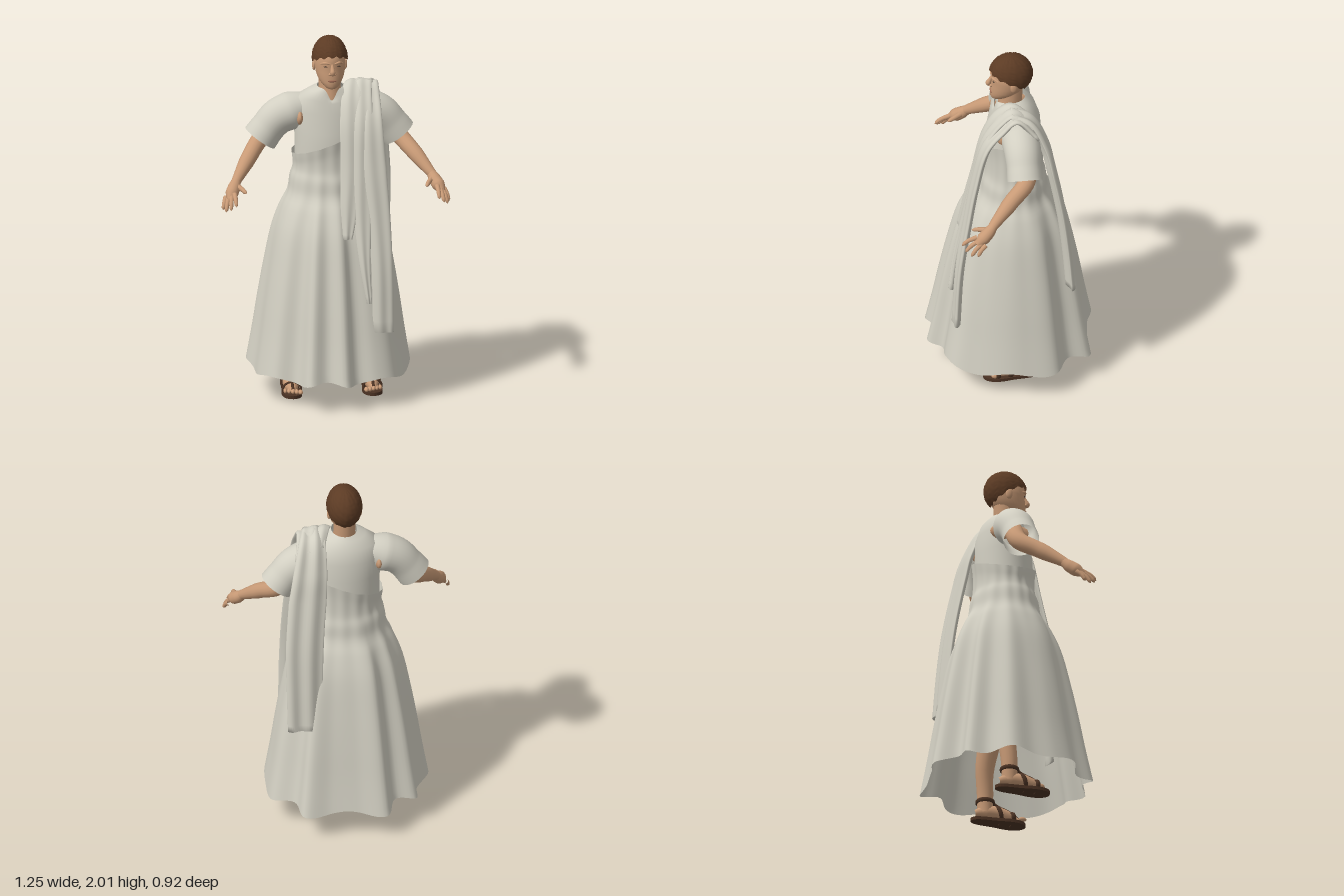
import * as THREE from 'three';

const V = (x, y, z) => new THREE.Vector3(x, y, z);
const mat = (name, color, side = THREE.FrontSide) => {
  const m = new THREE.MeshStandardMaterial({ color, side });
  m.name = name;
  return m;
};

// Surface through closed rings of equal point count
function loft(rings) {
  const n = rings[0].length, pos = [], idx = [];
  rings.forEach(r => r.forEach(p => pos.push(p.x, p.y, p.z)));
  for (let i = 0; i < rings.length - 1; i++) {
    for (let j = 0; j < n; j++) {
      const a = i * n + j, b = i * n + (j + 1) % n, c = a + n, d = b + n;
      idx.push(a, b, c, b, d, c);
    }
  }
  const g = new THREE.BufferGeometry();
  g.setAttribute('position', new THREE.Float32BufferAttribute(pos, 3));
  g.setIndex(idx);
  g.computeVertexNormals();
  return g;
}

const ring = (n, f) => Array.from({ length: n }, (_, j) => f(j / n * Math.PI * 2));

// Linear reading of a short list of values at t = 0..1
function at(list, t) {
  const k = t * (list.length - 1), i = Math.min(Math.floor(k), list.length - 2);
  return THREE.MathUtils.lerp(list[i], list[i + 1], k - i);
}

// Tapered round limb along a smooth path
function limb(pts, radii, steps = 16, sides = 16) {
  const curve = new THREE.CatmullRomCurve3(pts.map(p => V(...p)));
  const fr = curve.computeFrenetFrames(steps);
  return loft(Array.from({ length: steps + 1 }, (_, i) => {
    const t = i / steps, c = curve.getPointAt(t), r = at(radii, t);
    return ring(sides, a => c.clone().addScaledVector(fr.normals[i], r * Math.cos(a))
      .addScaledVector(fr.binormals[i], r * Math.sin(a)));
  }));
}

// Flat pleated band of cloth along a path, with closed ends
function drape(pts, widths, depth, pleat, waves) {
  const curve = new THREE.CatmullRomCurve3(pts.map(p => V(...p))), steps = 40, X = V(1, 0, 0);
  const rings = [];
  for (let i = 0; i <= steps; i++) {
    const t = i / steps, c = curve.getPoint(t), w = at(widths, t);
    const n = curve.getTangent(t).cross(X).normalize();
    const make = s => ring(40, a => c.clone().addScaledVector(X, s * w * Math.cos(a))
      .addScaledVector(n, s * (depth * Math.sin(a) + pleat * Math.sin(Math.cos(a) * waves))));
    if (i === 0) rings.push(make(0));
    rings.push(make(1));
    if (i === steps) rings.push(make(0));
  }
  return loft(rings);
}

// Oval rings given as [y, half width, front z, back z], top to bottom
function ovals(rows, sides, drop = () => 0) {
  return loft(rows.map(([y, w, f, b], i) => ring(sides, a =>
    V(w * Math.cos(a), y - drop(i, Math.sin(a)), (f + b) / 2 + (f - b) / 2 * Math.sin(a)))));
}

export function createModel() {
  const model = new THREE.Group();
  const cloth = mat('cream cloth', 0xd2cfc2, THREE.DoubleSide);
  const skin = mat('skin', 0xc89a76);
  const hair = mat('brown hair', 0x5c3b24, THREE.DoubleSide);
  const leather = mat('dark leather', 0x4c3324);
  const lip = mat('lips', 0xa06a54);
  const dark = mat('eyes', 0x5a4638);
  const add = (name, geo, m, p, s) => {
    const mesh = new THREE.Mesh(geo, m);
    mesh.name = name;
    if (p) mesh.position.set(...p);
    if (s) mesh.scale.set(...s);
    model.add(mesh);
    return mesh;
  };
  const ball = new THREE.SphereGeometry(1, 20, 14);

  // Skirt: folds grow from an oval waist, wrapped higher on the left, to a wavy hem
  const hem = new THREE.CatmullRomCurve3([
    [.44, -.04], [.42, .1], [.37, .23], [.3, .34], [.2, .38], [.1, .38], [.035, .455], [-.065, .41],
    [-.165, .44], [-.23, .32], [-.34, .28], [-.41, .15], [-.42, .02], [-.445, -.11], [-.36, -.22],
    [-.34, -.33], [-.22, -.34], [-.16, -.46], [0, -.425], [.14, -.405], [.29, -.4], [.32, -.28], [.43, -.2],
  ].map(([x, z]) => V(x, 0, z)), true).getSpacedPoints(144).slice(0, 144);
  const flare = new THREE.CatmullRomCurve3([
    [.03, 1.43], [0, 1.35], [.01, 1.27], [.07, 1.21], [.11, 1.14], [.28, 1.05], [.46, .92],
    [.63, .71], [.76, .52], [.87, .34], [1, .148],
  ].map(([f, y]) => V(f, y, 0)));
  add('skirt', loft(flare.getPoints(44).map(({ x: f, y }) => hem.map((h, j) => {
    const a = Math.atan2(h.z, h.x), fold = 1 + .012 * Math.sin(a * 17) * (1 - f * .6);
    const wx = .2 * Math.cos(a) * fold, wz = -.018 + .162 * Math.sin(a) * fold;
    const tilt = .4 * wx * THREE.MathUtils.smoothstep(y, 1.22, 1.43);
    const wave = .014 * Math.sin(j * .35) * f * f;
    return V(wx + (h.x - wx) * f, y + tilt + wave, wz + (h.z - wz) * f);
  }))), cloth);

  // Tunic with a small notch at the throat
  const notch = [.065, .05, .02, 0, 0, 0, 0];
  add('tunic', ovals([
    [1.725, .07, .085, -.085], [1.705, .115, .09, -.105], [1.665, .18, .1, -.14], [1.59, .2, .11, -.165],
    [1.48, .192, .132, -.17], [1.38, .19, .14, -.175], [1.28, .19, .14, -.175],
  ], 48, (i, s) => notch[i] * Math.max(0, s) ** 14), cloth);

  // Shoulder cloth: overlapping front falls of different lengths and a wide back fall
  add('shawlInner', drape([[.06, .93, .28], [.075, 1.1, .25], [.095, 1.31, .205], [.1, 1.55, .15],
    [.11, 1.69, .075], [.13, 1.74, 0], [.17, 1.68, -.1]], [.025, .05, .065, .065, .055, .05, .045], .013, .003, 5), cloth);
  add('shawlMiddle', drape([[.17, .58, .34], [.15, .8, .31], [.145, 1.05, .262], [.15, 1.31, .212], [.16, 1.55, .155],
    [.17, 1.69, .065], [.18, 1.74, 0], [.22, 1.66, -.11]], [.014, .03, .05, .055, .055, .05, .05, .045], .015, .003, 5), cloth);
  add('shawlOuter', drape([[.248, .41, .325], [.245, .76, .305], [.23, 1.05, .262], [.21, 1.31, .215], [.205, 1.55, .15],
    [.21, 1.66, .065], [.21, 1.725, -.01], [.24, 1.62, -.12]], [.057, .057, .065, .07, .062, .055, .055, .05], .019, .004, 5), cloth);
  add('shawlBack', drape([[.17, 1.735, .02], [.19, 1.7, -.08], [.215, 1.55, -.16], [.235, 1.4, -.195], [.26, 1.13, -.245],
    [.265, .88, -.275], [.265, .64, -.295]], [.06, .075, .095, .105, .105, .1, .097], .02, .008, 6), cloth);

  // Neck and head
  add('neck', limb([[0, 1.82, -.015], [0, 1.73, -.01], [0, 1.6, 0]], [.06, .06, .075]), skin);
  add('head', ovals([
    [1.965, .03, .04, -.06], [1.945, .065, .08, -.09], [1.9, .08, .1, -.105], [1.865, .083, .103, -.105],
    [1.85, .084, .099, -.1], [1.815, .08, .102, -.09], [1.785, .072, .105, -.07], [1.765, .062, .104, -.045],
    [1.745, .046, .106, -.01], [1.728, .026, .095, .02], [1.722, 0, .06, .06],
  ], 32), skin);
  add('nose', limb([[0, 1.875, .093], [0, 1.845, .108], [0, 1.822, .117], [0, 1.808, .1]], [.006, .01, .015, .004]), skin);
  add('mouth', ball, lip, [0, 1.776, .102], [.024, .006, .006]);
  for (const s of [-1, 1]) {
    add('brow', limb([[s * .012, 1.872, .1], [s * .036, 1.877, .093], [s * .06, 1.868, .07]], [.004, .008, .004]), skin);
    add('eye', ball, dark, [s * .034, 1.856, .091], [.013, .004, .005]);
    add('nostril', ball, skin, [s * .013, 1.815, .103], [.008, .008, .01]);
    add('ear', ball, skin, [s * .086, 1.838, -.012], [.01, .03, .019]);
  }

  // Curly cap of hair, low at the nape and high on the brow
  const hairRows = 28;
  add('hair', loft(Array.from({ length: hairRows + 1 }, (_, i) => ring(72, a => {
    const s = Math.sin(a);
    const reach = (s > 0 ? 1.72 - .42 * s : 1.72 - .7 * s) + .05 * Math.sin(a * 13);
    const t = reach * i / hairRows;
    const curl = .985 + .018 * Math.sin(a * 13 + 2.2 * Math.sin(i * 1.3)) * Math.sin(i * 1.1 + 2 * Math.sin(a * 5)) * Math.min(1, i / 8);
    return V(.098 * Math.sin(t) * Math.cos(a) * curl, 1.88 + .122 * Math.cos(t) * curl,
      -.007 + .122 * Math.sin(t) * s * curl);
  }))), hair);

  for (const s of [-1, 1]) {
    // Bare armpit, sleeve and arm
    add('armpit', ball, skin, [s * .172, 1.56, -.03], [.026, .055, .118]);
    add('sleeve', limb([[s * .13, 1.6, -.035], [s * .2, 1.58, -.035], [s * .28, 1.545, -.035], [s * .34, 1.48, -.035],
      [s * .378, 1.428, -.035]], [.08, .106, .1, .094, .098], 18, 28), cloth);
    add('arm', limb([[s * .2, 1.58, -.04], [s * .3, 1.5, -.05], [s * .375, 1.42, -.045], [s * .45, 1.345, .05],
      [s * .535, 1.25, .165]], [.055, .052, .046, .042, .026], 24), skin);

    // Hand
    add('palm', limb([[s * .53, 1.257, .155], [s * .55, 1.222, .19], [s * .568, 1.195, .225], [s * .58, 1.172, .255]],
      [.024, .034, .036, .016]), skin);
    [[.555, 1.155, .335], [.583, 1.13, .32], [.606, 1.113, .29], [.618, 1.118, .255]].forEach(([x, y, z], k) => {
      const b = [.554 + k * .014, 1.204 - k * .009, .25 - k * .014];
      add('finger', limb([[s * b[0], b[1], b[2]], [s * (b[0] * .4 + x * .6), b[1] * .4 + y * .6 + .01, b[2] * .4 + z * .6],
        [s * x, y, z]], [.014, .014, .013, .012, .012, .011, .01, 0], 14, 10), skin);
    });
    add('thumb', limb([[s * .535, 1.23, .185], [s * .51, 1.222, .23], [s * .492, 1.21, .275]],
      [.017, .016, .014, .013, .012, .011, 0], 14, 10), skin);

    // Leg and foot
    const cx = s * .22;
    add('leg', limb([[s * .12, .85, -.03], [s * .17, .5, -.04], [s * .205, .3, -.06], [cx, .15, -.053], [cx, .05, -.053]],
      [.085, .068, .062, .047, .042], 20), skin);
    add('foot', limb([[cx, .045, -.115], [cx, .055, -.06], [cx, .055, .02], [cx, .04, .09], [cx, .03, .14]],
      [.02, .042, .046, .038, .014], 18), skin);
    for (let k = 0; k < 5; k++) {
      add('toe', ball, skin, [cx + s * (k - 2) * .02, .03, .147 - k * .009], [.0125 - k * .0008, .013, .022]);
    }

    // Sandal
    const outline = new THREE.Shape();
    outline.moveTo(0, -.135);
    outline.bezierCurveTo(.05, -.13, .035, -.04, .048, .03);
    outline.bezierCurveTo(.064, .1, .054, .17, 0, .175);
    outline.bezierCurveTo(-.054, .17, -.064, .1, -.048, .03);
    outline.bezierCurveTo(-.035, -.04, -.05, -.13, 0, -.135);
    const sole = new THREE.ExtrudeGeometry(outline, { depth: .018, bevelEnabled: false, curveSegments: 10 });
    sole.rotateX(Math.PI / 2);
    add('sole', sole, leather, [cx, .018, 0]);
    const strap = (name, y, z, rx, ry, tilt) => {
      const m = add(name, new THREE.TorusGeometry(1, .14, 8, 28), leather, [cx, y, z], [rx, ry, .09]);
      m.rotation.x = tilt;
    };
    strap('ankleStrap', .12, -.053, .047, .047, Math.PI / 2);
    strap('instepStrap', .05, .02, .049, .049, -.3);
    strap('toeStrap', .036, .095, .049, .036, -.1);
    add('centreStrap', limb([[cx, .12, -.005], [cx, .104, .02], [cx, .082, .08], [cx, .042, .14]], [.008, .008], 10, 8), leather);
  }
  return model;
}
